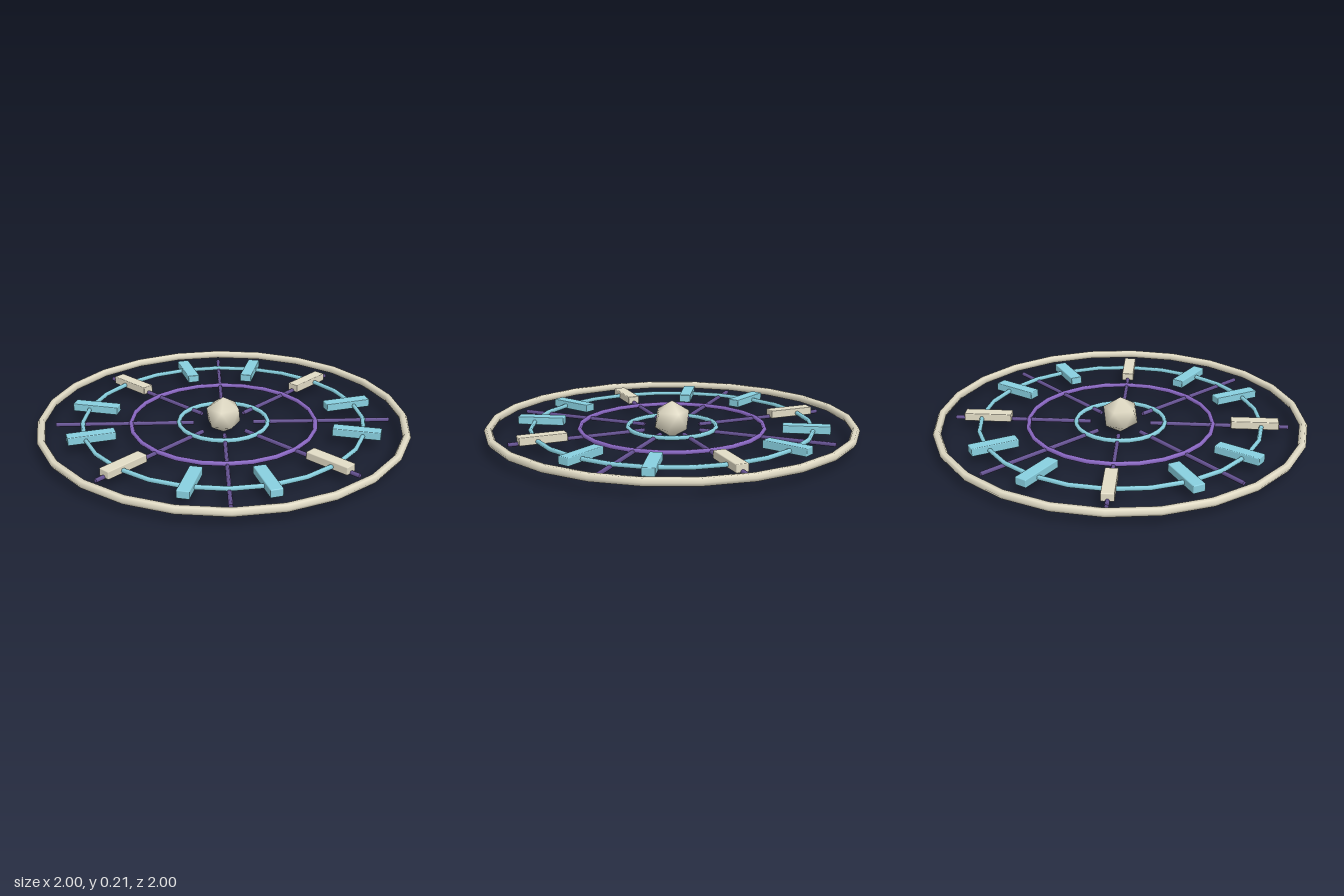
import * as THREE from 'three';
import { mergeVertices } from 'three/addons/utils/BufferGeometryUtils.js';
import { RoundedBoxGeometry } from 'three/addons/geometries/RoundedBoxGeometry.js';

const material = (name, color) => {
  const m = new THREE.MeshStandardMaterial({ color });
  m.name = name;
  return m;
};

export function createModel() {
  const cream = material('cream', 0xe2dcc6);
  const teal = material('teal', 0x88d0e0);
  const violet = material('violet', 0x8a68c4);
  const darkViolet = material('dark violet', 0x665394);
  const model = new THREE.Group();

  const add = (name, geometry, mat, y) => {
    const mesh = new THREE.Mesh(geometry, mat);
    mesh.name = name;
    mesh.position.y = y;
    model.add(mesh);
    return mesh;
  };

  // Concentric rings, the inner ones slightly lower
  const ring = (name, radius, tube, mat, y) =>
    add(name, new THREE.TorusGeometry(radius, tube, 6, 24).rotateX(Math.PI / 2), mat, y);
  ring('outerRing', 0.978, 0.022, cream, 0.073);
  ring('panelRing', 0.757, 0.0125, teal, 0.069);
  ring('middleRing', 0.498, 0.0125, violet, 0.064);
  ring('innerRing', 0.24, 0.0125, teal, 0.064);

  // Core: softly shaded icosahedron standing on one of its points
  const solid = new THREE.IcosahedronGeometry(0.103, 0);
  solid.deleteAttribute('normal');
  solid.deleteAttribute('uv');
  const core = mergeVertices(solid);
  core.computeVertexNormals();
  core.rotateZ(-Math.atan(2 / (1 + Math.sqrt(5))));
  add('core', core, cream, 0.103);

  // Eight spokes, slung just below the rings
  const spoke = new THREE.CylinderGeometry(0.0115, 0.0115, 0.74, 6).rotateZ(Math.PI / 2).translate(0.53, 0, 0);
  for (let i = 0; i < 8; i++) {
    add('spoke', spoke, darkViolet, 0.058).rotation.y = (i * Math.PI) / 4;
  }

  // Twelve radial blocks with slightly softened edges, every third one cream
  const block = new RoundedBoxGeometry(0.255, 0.044, 0.067, 1, 0.005).translate(0.72, 0, 0);
  for (let i = 0; i < 12; i++) {
    const main = i % 3 === 0;
    add(main ? 'mainBlock' : 'block', block, main ? cream : teal, 0.074).rotation.y = (i * Math.PI) / 6;
  }
  return model;
}
